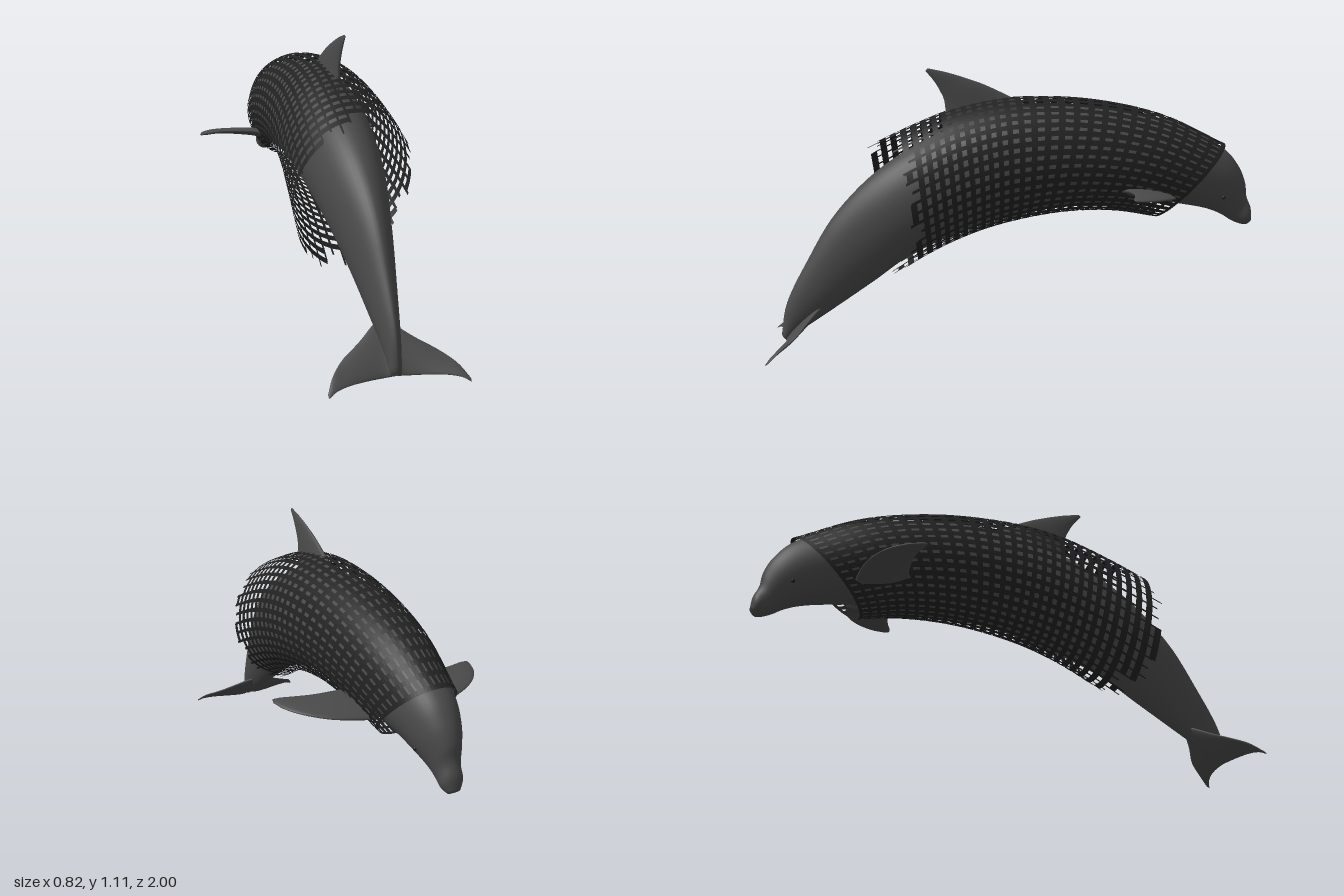
import * as THREE from 'three';

const V = (x, y, z) => new THREE.Vector3(x, y, z);
const skin = new THREE.MeshStandardMaterial({ color: 0x4a4a4a });
const dark = new THREE.MeshStandardMaterial({ color: 0x222222 });
const mesh = new THREE.MeshStandardMaterial({ color: 0x222222, side: THREE.DoubleSide });

// Smooth surface through oval sections: each has two opposite rim points and a sideways half axis
function ovalSurface(sections, sharp = () => 1) {
  const [a, b, s] = [0, 1, 2].map(k =>
    new THREE.CatmullRomCurve3(sections.map(q => V(...q[k])), false, 'catmullrom', 0.5));
  return (t, angle) => {
    const p = a.getPoint(t), q = b.getPoint(t), sn = Math.sin(angle);
    const mid = p.clone().add(q).multiplyScalar(0.5);
    return mid.clone()
      .addScaledVector(p.sub(mid), Math.cos(angle))
      .addScaledVector(s.getPoint(t), Math.sign(sn) * Math.abs(sn) ** sharp(t));
  };
}

// Closed skin over an oval surface, with both ends capped
function loft(surface, rows, sides) {
  const pts = [], index = [];
  for (let i = 0; i <= rows; i++)
    for (let j = 0; j < sides; j++) pts.push(surface(i / rows, j / sides * Math.PI * 2));
  const first = pts.length, last = first + 1;
  for (const t of [0, 1]) pts.push(surface(t, 0).add(surface(t, Math.PI)).multiplyScalar(0.5));
  for (let j = 0; j < sides; j++) {
    const k = (j + 1) % sides, end = rows * sides;
    for (let i = 0; i < rows; i++) {
      const r = i * sides, n = r + sides;
      index.push(r + j, n + j, r + k, r + k, n + j, n + k);
    }
    index.push(first, j, k, last, end + k, end + j);
  }
  // Turn the faces outward when the enclosed volume comes out negative
  let volume = 0;
  for (let i = 0; i < index.length; i += 3)
    volume += pts[index[i]].dot(pts[index[i + 1]].clone().cross(pts[index[i + 2]]));
  if (volume < 0) index.reverse();
  const g = new THREE.BufferGeometry().setFromPoints(pts);
  g.setIndex(index);
  g.computeVertexNormals();
  return g;
}

// Ribbons, each given as a list of [edge, edge] point pairs
function ribbons(list) {
  const pts = [], index = [];
  for (const pairs of list) pairs.forEach(([p, q], i) => {
    const n = pts.length;
    pts.push(p, q);
    if (i) index.push(n - 2, n - 1, n, n, n - 1, n + 1);
  });
  const g = new THREE.BufferGeometry().setFromPoints(pts);
  g.setIndex(index);
  g.computeVertexNormals();
  return g;
}

// Half width, back y, back z, belly y, belly z
const upright = rows => rows.map(([w, ty, tz, by, bz]) => [[0, ty, tz], [0, by, bz], [w, 0, 0]]);

const bodySections = upright([
  [0.020, 0.05, 0.955, 0.025, 0.93], [0.030, 0.18, 0.93, 0.075, 0.86],
  [0.052, 0.34, 0.85, 0.16, 0.73], [0.083, 0.55, 0.72, 0.26, 0.58],
  [0.122, 0.74, 0.52, 0.37, 0.42], [0.150, 0.885, 0.25, 0.465, 0.20],
  [0.164, 0.95, 0, 0.525, 0], [0.165, 0.96, -0.25, 0.55, -0.20],
  [0.156, 0.93, -0.50, 0.55, -0.42], [0.133, 0.873, -0.70, 0.56, -0.60],
  [0.105, 0.785, -0.86, 0.545, -0.72], [0.082, 0.71, -0.93, 0.525, -0.81],
  [0.058, 0.64, -0.963, 0.50, -0.87], [0.044, 0.58, -0.972, 0.475, -0.91],
  [0.040, 0.53, -0.992, 0.46, -0.945], [0.022, 0.48, -0.998, 0.455, -0.97],
]);

const netSections = upright([
  [0.130, 0.80, -0.87, 0.50, -0.58], [0.166, 0.925, -0.60, 0.53, -0.40],
  [0.185, 0.99, -0.30, 0.53, -0.20], [0.200, 1.00, 0, 0.50, 0],
  [0.217, 0.965, 0.22, 0.45, 0.18], [0.235, 0.89, 0.42, 0.37, 0.36],
  [0.252, 0.79, 0.63, 0.25, 0.56],
]);

// Fins: leading point, trailing point, half thickness
const dorsalSections = [
  [[0, 0.940, -0.10], [0, 0.88, 0.28], [0.022, 0, 0]],
  [[0, 1.038, 0.10], [0, 0.98, 0.285], [0.016, 0, 0]],
  [[0, 1.076, 0.20], [0, 1.03, 0.305], [0.011, 0, 0]],
  [[0, 1.100, 0.28], [0, 1.07, 0.33], [0.007, 0, 0]],
  [[0, 1.115, 0.35], [0, 1.105, 0.36], [0.002, 0, 0]],
];
const flipperSections = [
  [[0.10, 0.595, -0.620], [0.10, 0.625, -0.400], [0, 0.020, 0]],
  [[0.17, 0.606, -0.615], [0.17, 0.635, -0.420], [0, 0.017, 0]],
  [[0.26, 0.617, -0.595], [0.26, 0.640, -0.425], [0, 0.013, 0]],
  [[0.34, 0.627, -0.545], [0.33, 0.642, -0.415], [0, 0.010, 0]],
  [[0.39, 0.632, -0.480], [0.375, 0.640, -0.40], [0, 0.008, 0]],
  [[0.41, 0.635, -0.420], [0.405, 0.638, -0.395], [0, 0.004, 0]],
];
const flukeSections = [
  [[0.00, 0.175, 0.770], [0.00, 0.030, 0.940], [0, 0.012, 0.009]],
  [[0.04, 0.158, 0.800], [0.04, 0.025, 0.935], [0, 0.011, 0.008]],
  [[0.10, 0.122, 0.843], [0.10, 0.025, 0.945], [0, 0.008, 0.006]],
  [[0.17, 0.085, 0.885], [0.17, 0.025, 0.965], [0, 0.006, 0.004]],
  [[0.22, 0.052, 0.938], [0.22, 0.018, 0.983], [0, 0.004, 0.003]],
  [[0.25, 0.013, 0.985], [0.248, 0.004, 0.998], [0, 0.002, 0.001]],
];
const mirrored = sections => sections.map(q => q.map(([x, y, z]) => [-x, y, z]));

// Net of crossing straps and hoops, with a ragged open rear edge
function buildNet() {
  const surface = ovalSurface(netSections), straps = 40, hoops = 31, step = Math.PI * 2 / straps;
  let seed = 7;
  const rnd = () => (seed = seed * 16807 % 2147483647) / 2147483647;
  const ends = Array.from({ length: straps }, (_, j) =>
    Math.min(1, 0.925 - 0.07 * Math.sin(j * step) + (rnd() - 0.5) * 0.06));

  // Straps thin out toward the rear
  const strapList = ends.map((end, j) => Array.from({ length: 41 }, (_, i) => {
    const t = end * i / 40, half = step * (0.35 - 0.29 * t * t);
    return [surface(t, j * step - half), surface(t, j * step + half)];
  }));

  // Hoops broaden toward the rear
  const hoopList = [];
  for (let i = 0; i < hoops; i++) {
    const f = i / (hoops - 1), half = 0.006 + 0.004 * f, t = half + f * (0.99 - half);
    for (let j = 0; j < straps; j++) {
      if (t > ends[j] || t > ends[(j + 1) % straps]) continue;
      hoopList.push([0, 0.5, 1].map(k =>
        [surface(t - half, (j + k) * step), surface(t + half, (j + k) * step)]));
    }
  }
  const net = new THREE.Group();
  net.name = 'net';
  net.add(named('netStraps', ribbons(strapList), mesh), named('netHoops', ribbons(hoopList), mesh));
  return net;
}

function named(name, geometry, material) {
  const m = new THREE.Mesh(geometry, material);
  m.name = name;
  return m;
}

export function createModel() {
  const model = new THREE.Group();
  model.name = 'dolphinInNet';

  // Body, ridged toward the tail
  const ridge = t => 1 + 0.35 * Math.max(0, 1 - 3 * t);
  model.add(named('body', loft(ovalSurface(bodySections, ridge), 90, 40), skin));
  model.add(named('dorsalFin', loft(ovalSurface(dorsalSections), 24, 24), skin));

  // Paired fins and eyes
  for (const [side, sign] of [['left', 1], ['right', -1]]) {
    const fin = (name, sections) => model.add(named(side + name,
      loft(ovalSurface(sign > 0 ? sections : mirrored(sections)), 24, 24), skin));
    fin('Flipper', flipperSections);
    fin('Fluke', flukeSections);
    const eye = named(side + 'Eye', new THREE.SphereGeometry(0.008, 16, 12), dark);
    eye.position.set(sign * 0.077, 0.585, -0.85);
    model.add(eye);
  }

  model.add(buildNet());
  return model;
}
